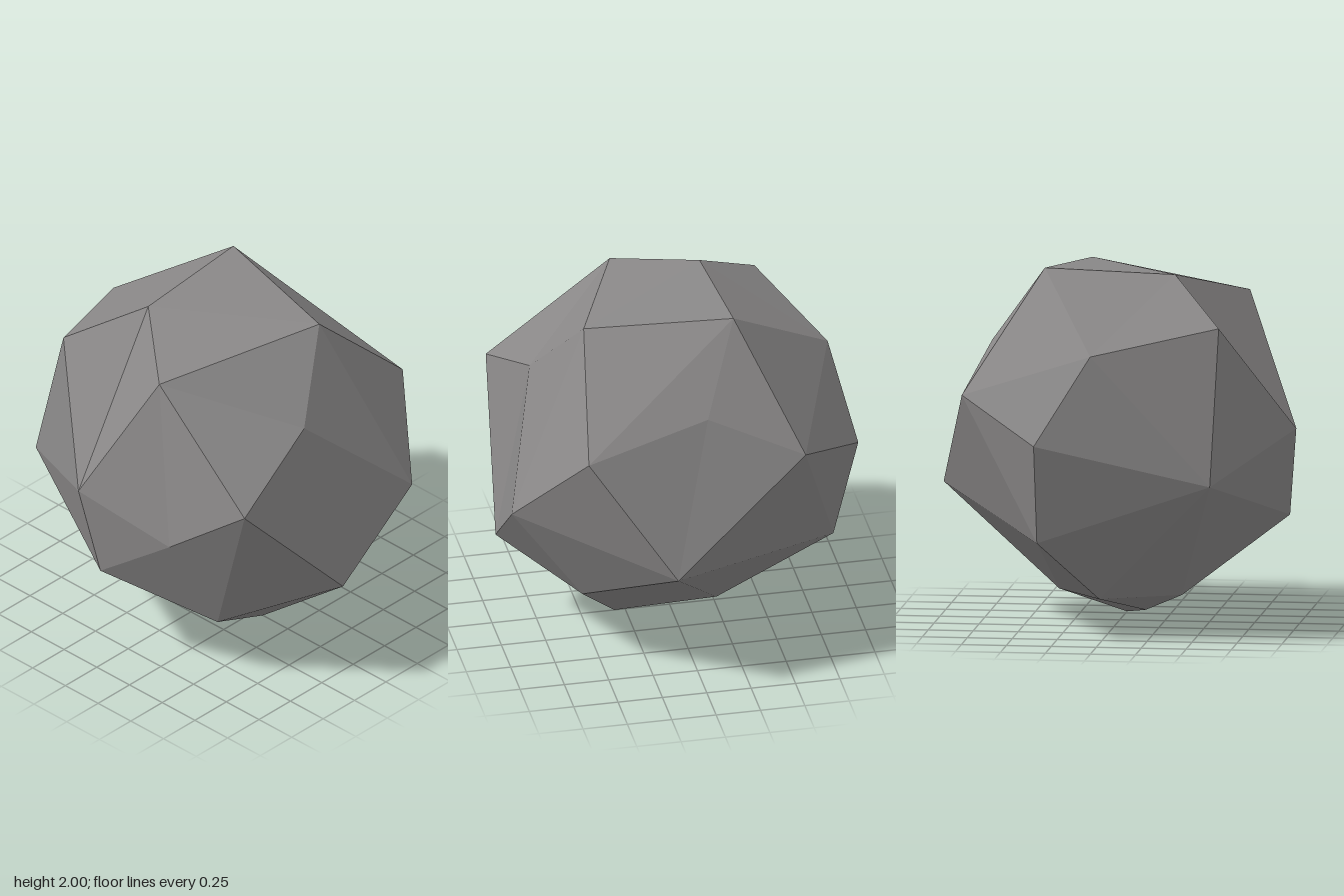
import * as THREE from 'three';

// Corners of the boulder, named by letter, from the crown down to the foot
const corners = {
  // crown
  A: [-0.70, 1.83, 0.19], B: [0.22, 1.94, 0.53], C: [0.38, 2.00, -0.28], D: [-0.34, 1.97, -0.24],
  b: [-0.63, 1.73, -0.61], U: [0.05, 1.60, -0.88], E: [0.70, 1.56, -0.07], K: [-0.14, 1.53, 0.76],
  // belt
  G: [0.79, 1.40, 0.62], W: [0.80, 1.33, -0.60], L: [-0.74, 1.28, 0.88], M: [-1.00, 1.11, -0.14],
  V: [0.35, 1.11, -0.99], I: [0.48, 0.96, 0.99], O: [-0.86, 0.93, 0.42], a: [-0.61, 0.88, -0.84],
  H: [1.00, 0.73, 0.16], N: [-0.95, 0.61, -0.02], Z: [0.35, 0.55, -0.85], J: [-0.05, 0.53, 0.97],
  // foot
  T: [0.52, 0.43, 0.60], P: [-0.60, 0.36, 0.54], Q: [-0.40, 0.21, -0.41], S: [0.31, 0.20, -0.20],
  Y: [0.04, 0.20, -0.56], X: [-0.17, 0.09, -0.20], R: [0.00, 0.00, 0.31],
};

// Facets as fans: the first corner is the hub, the rest run around it
const fans = [
  'KALJIBA', 'BIG', 'LJPOA', 'OPNMA', 'IJTHG',   // front and one flank
  'GECB', 'CEWUDB', 'DBAMbU',                    // crown
  'HSZWEG', 'VUWZaU', 'aUbMNQYZ',                // other flank and back
  'RPJTHSXP', 'SXYZ', 'QNPXY',                   // underside
];

function rockGeometry() {
  const points = {};
  for (const key in corners) points[key] = new THREE.Vector3(...corners[key]);
  const centre = new THREE.Vector3(0, 1, 0);
  const positions = [];
  for (const fan of fans) {
    for (let i = 1; i < fan.length - 1; i++) {
      const p = points[fan[0]];
      let q = points[fan[i]], r = points[fan[i + 1]];
      // turn every facet outward
      const normal = q.clone().sub(p).cross(r.clone().sub(p));
      const middle = p.clone().add(q).add(r).divideScalar(3).sub(centre);
      if (normal.dot(middle) < 0) [q, r] = [r, q];
      for (const v of [p, q, r]) positions.push(v.x, v.y, v.z);
    }
  }
  const geometry = new THREE.BufferGeometry();
  geometry.setAttribute('position', new THREE.Float32BufferAttribute(positions, 3));
  geometry.computeVertexNormals(); // unshared corners give flat facets
  return geometry;
}

export function createModel() {
  const group = new THREE.Group();
  group.name = 'boulder';
  const stone = new THREE.MeshStandardMaterial({ color: 0x8a8888 });
  stone.name = 'stone grey';
  stone.flatShading = true;
  const rock = new THREE.Mesh(rockGeometry(), stone);
  rock.name = 'rock';
  group.add(rock);
  return group;
}
